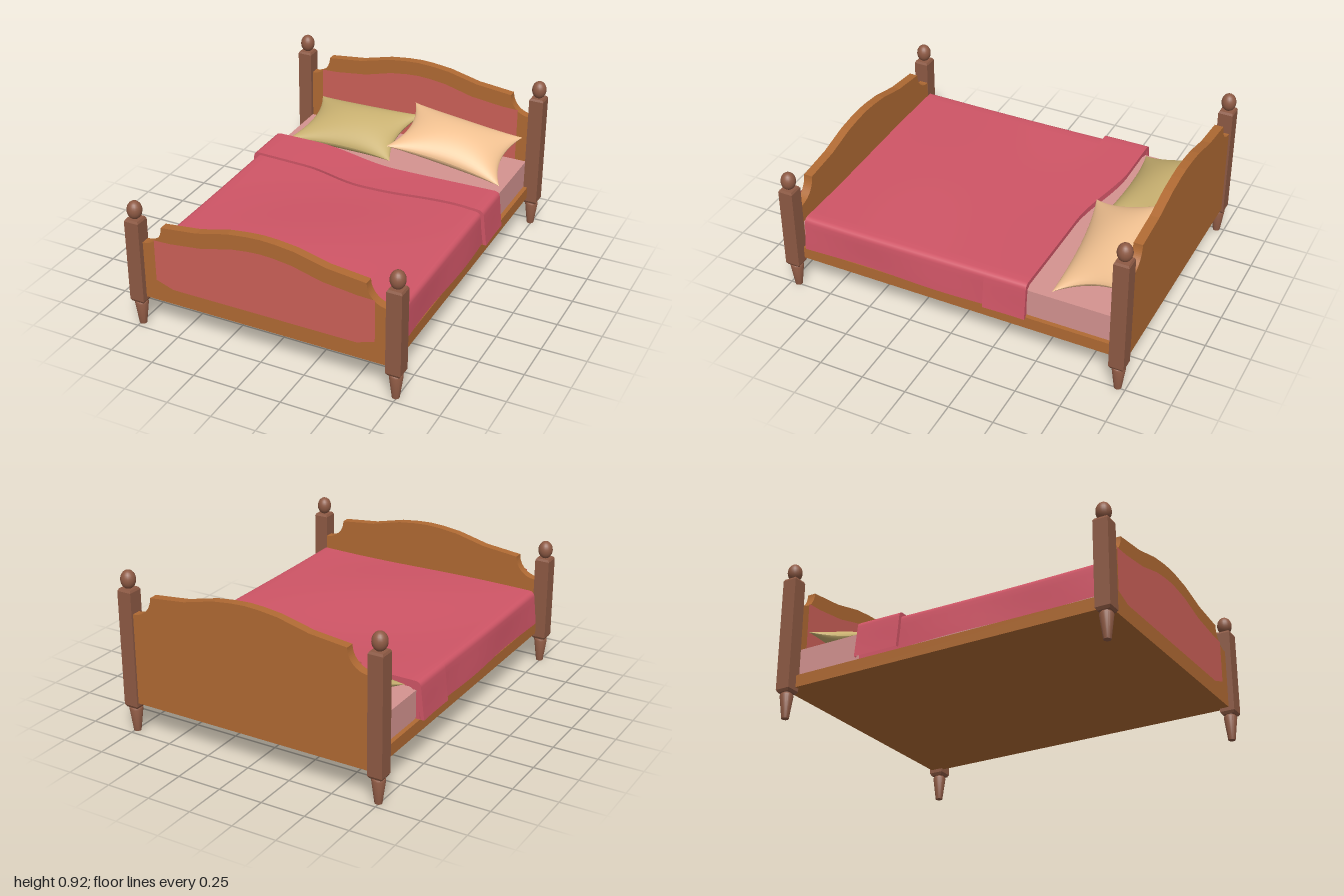
import * as THREE from 'three';
import { toCreasedNormals } from 'three/addons/utils/BufferGeometryUtils.js';

const mat = (color, side = THREE.FrontSide) => new THREE.MeshStandardMaterial({ color, side });
const wood = mat(0xb06a33);
const postWood = mat(0x8e5a44);
const panelPink = mat(0xcb6058, THREE.DoubleSide);
const mattressPink = mat(0xd49390);
const blanketRed = mat(0xcf5566, THREE.DoubleSide);
const step = THREE.MathUtils.smoothstep;

function add(parent, name, geometry, material, x = 0, y = 0, z = 0) {
  const mesh = new THREE.Mesh(geometry, material);
  mesh.name = name;
  mesh.position.set(x, y, z);
  parent.add(mesh);
  return mesh;
}

const lathe = (points, sides) =>
  new THREE.LatheGeometry(points.map(([r, y]) => new THREE.Vector2(r, y)), sides);

// Surface from a grid of points: rows run along +z, columns along +x
function gridSurface(rows, cols, pointAt, flip = false) {
  const pos = [], index = [];
  for (let i = 0; i <= rows; i++)
    for (let j = 0; j <= cols; j++) pos.push(...pointAt(i, j));
  for (let i = 0; i < rows; i++)
    for (let j = 0; j < cols; j++) {
      const a = i * (cols + 1) + j, b = a + cols + 1;
      if (flip) index.push(a, a + 1, b, a + 1, b + 1, b);
      else index.push(a, b, a + 1, a + 1, b, b + 1);
    }
  const g = new THREE.BufferGeometry();
  g.setAttribute('position', new THREE.Float32BufferAttribute(pos, 3));
  g.setIndex(index);
  g.computeVertexNormals();
  return g;
}

// Square post with tapered foot and round finial
function makePost(name, x, z, top) {
  const post = new THREE.Group();
  post.name = name;
  post.position.set(x, 0, z);
  const r = 0.042 * Math.SQRT2;
  const shaft = lathe([[0, 0.145], [r * 0.8, 0.145], [r, 0.16], [r, top - 0.012], [r * 0.85, top], [0, top]], 4);
  shaft.rotateY(Math.PI / 4);
  add(post, 'shaft', toCreasedNormals(shaft, 0.2), postWood);
  const foot = lathe([[0, 0], [0.02, 0], [0.037, 0.13], [0.034, 0.138], [0.028, 0.142], [0.028, 0.15]], 20);
  add(post, 'foot', toCreasedNormals(foot, 0.6), postWood);
  add(post, 'finial', new THREE.SphereGeometry(0.041, 20, 14), postWood, 0, top + 0.047, 0).scale.y = 1.25;
  return post;
}

// Arched top edge, from the right shoulder to the left one
const arch = [[0.58, 0], [0.37, 0.023], [0.19, 0.067], [0.08, 0.08], [0, 0.084],
  [-0.08, 0.08], [-0.19, 0.067], [-0.37, 0.023], [-0.58, 0]];

// Board with an arched top and scooped shoulders, plus its inlaid panel
function makeBoard(name, shoulder, z, depth) {
  const board = new THREE.Group();
  board.name = name;
  const s = new THREE.Shape();
  s.moveTo(-0.71, 0.18);
  s.lineTo(0.71, 0.18);
  s.lineTo(0.71, shoulder - 0.117);
  s.lineTo(0.7, shoulder - 0.117);
  s.absarc(0.7, shoulder, 0.117, -Math.PI / 2, -Math.PI, true);
  arch.forEach(([x, y]) => s.lineTo(x, shoulder + y));
  s.lineTo(-0.583, shoulder);
  s.absarc(-0.7, shoulder, 0.117, 0, -Math.PI / 2, true);
  s.lineTo(-0.71, shoulder - 0.117);
  s.closePath();
  add(board, 'board', new THREE.ExtrudeGeometry(s, { depth, bevelEnabled: false, curveSegments: 10 }),
    wood, 0, 0, z - depth / 2);

  const p = new THREE.Shape();
  p.moveTo(-0.53, 0.27);
  p.lineTo(0.53, 0.27);
  p.lineTo(0.63, 0.305);
  p.lineTo(0.63, shoulder - 0.085);
  arch.forEach(([x, y]) => p.lineTo(x * 0.92, shoulder - 0.082 + y));
  p.lineTo(-0.63, shoulder - 0.085);
  p.lineTo(-0.63, 0.305);
  p.closePath();
  add(board, 'inlaidPanel', new THREE.ShapeGeometry(p), panelPink, 0, 0, z + depth / 2 + 0.002);
  return board;
}

// Soft height variation shared by the blanket and its fold
const ripple = (x, z) =>
  0.008 * Math.sin(5 * z - 0.9 + x) * Math.cos(2.2 * x) + 0.004 * Math.sin(4 * x + 3 * z);

// Cloth draped over the mattress, its edges turned under
function drape({ half, flare, top, bottom, back, front, thick }) {
  const section = [];
  const r = 0.03;
  for (let k = 0; k < 5; k++) section.push([half + flare * (1 - k / 5), bottom + (top - r - bottom) * k / 5]);
  for (let k = 0; k <= 4; k++) {
    const a = (k / 4) * Math.PI / 2;
    section.push([half - r + r * Math.cos(a), top - r + r * Math.sin(a)]);
  }
  const side = section.map(([x, y]) => [-x, y]);
  const middle = [];
  for (let k = 1; k < 28; k++) middle.push([(half - r) * (k / 14 - 1), top]);
  const line = [...side, ...middle, ...section.reverse()];
  const rows = 30;
  return toCreasedNormals(gridSurface(rows, line.length - 1, (i, j) => {
    let [x, y] = line[j];
    const t = THREE.MathUtils.clamp((i - 1) / (rows - 2), 0, 1);
    const z = THREE.MathUtils.lerp(back(x), front(x), t);
    const lift = step(y, bottom, top);
    y += ripple(x, z) * lift;
    x += Math.sign(x) * 0.006 * Math.sin(7 * z + 1) * (1 - lift);
    if (i === 0 || i === rows) {
      x *= 1 - thick / half;
      y -= thick * lift;
    }
    return [x, y, z];
  }), 0.7);
}

// Pillow stretched between four corners: back -x, back +x, front -x, front +x
function makePillow(name, corners, puff, color) {
  const pillow = new THREE.Group();
  pillow.name = name;
  const [bl, br, fl, fr] = corners.map((c) => new THREE.Vector3(...c));
  const n = 24;
  for (const sign of [1, -1]) {
    const g = gridSurface(n, n, (i, j) => {
      const v0 = Math.sin((i / n - 0.5) * Math.PI), u0 = Math.sin((j / n - 0.5) * Math.PI);
      const u = u0 * (1 - 0.17 * (1 - v0 * v0)), v = v0 * (1 - 0.17 * (1 - u0 * u0));
      const p = bl.clone().lerp(br, (u + 1) / 2)
        .lerp(fl.clone().lerp(fr, (u + 1) / 2), (v + 1) / 2);
      p.y += sign * puff * Math.pow((1 - u0 * u0) * (1 - v0 * v0), 0.55);
      return p.toArray();
    }, sign < 0);
    add(pillow, sign > 0 ? 'upperCover' : 'lowerCover', g, mat(color, THREE.DoubleSide));
  }
  return pillow;
}

export function createModel() {
  const bed = new THREE.Group();
  bed.name = 'bed';

  // Posts and end boards
  for (const side of [1, -1]) {
    const label = side > 0 ? 'left' : 'right';
    bed.add(makePost(label + 'FootPost', side * 0.743, 0.957, 0.645));
    bed.add(makePost(label + 'HeadPost', side * 0.743, -0.957, 0.823));
    add(bed, label + 'SideRail', new THREE.BoxGeometry(0.025, 0.07, 1.86), wood, side * 0.7125, 0.215, 0);
  }
  bed.add(makeBoard('footboard', 0.63, 0.942, 0.05));
  bed.add(makeBoard('headboard', 0.81, -0.962, 0.05));

  // Base and mattress
  add(bed, 'bedBase', new THREE.BoxGeometry(1.4, 0.065, 1.88), wood, 0, 0.2125, -0.01);
  add(bed, 'mattress', new THREE.BoxGeometry(1.4, 0.17, 1.845), mattressPink, 0, 0.325, -0.008);

  // Blanket and its turned-back fold
  const headEdge = (x) => -0.515 + 0.085 * step(x, -0.45, 0.1);
  const foldEdge = (x) => -0.25 + 0.07 * step(x, -0.4, 0) - 0.03 * step(x, 0.1, 0.5) + 0.02 * step(x, 0.55, 0.75);
  add(bed, 'blanket', drape({
    half: 0.715, flare: 0.012, top: 0.447, bottom: 0.25,
    back: (x) => headEdge(x) + 0.01, front: () => 0.897, thick: 0.03,
  }), blanketRed);
  add(bed, 'blanketFold', drape({
    half: 0.732, flare: 0.025, top: 0.462, bottom: 0.255,
    back: headEdge, front: foldEdge, thick: 0.02,
  }), blanketRed);

  // Pillows, one leaning on the other
  bed.add(makePillow('rightPillow',
    [[-0.63, 0.55, -0.93], [0.04, 0.57, -0.92], [-0.65, 0.44, -0.53], [0.01, 0.44, -0.53]], 0.085, 0xc8b070));
  bed.add(makePillow('leftPillow',
    [[0, 0.65, -0.91], [0.67, 0.56, -0.93], [0, 0.55, -0.5], [0.68, 0.43, -0.55]], 0.088, 0xf0c090));
  return bed;
}
